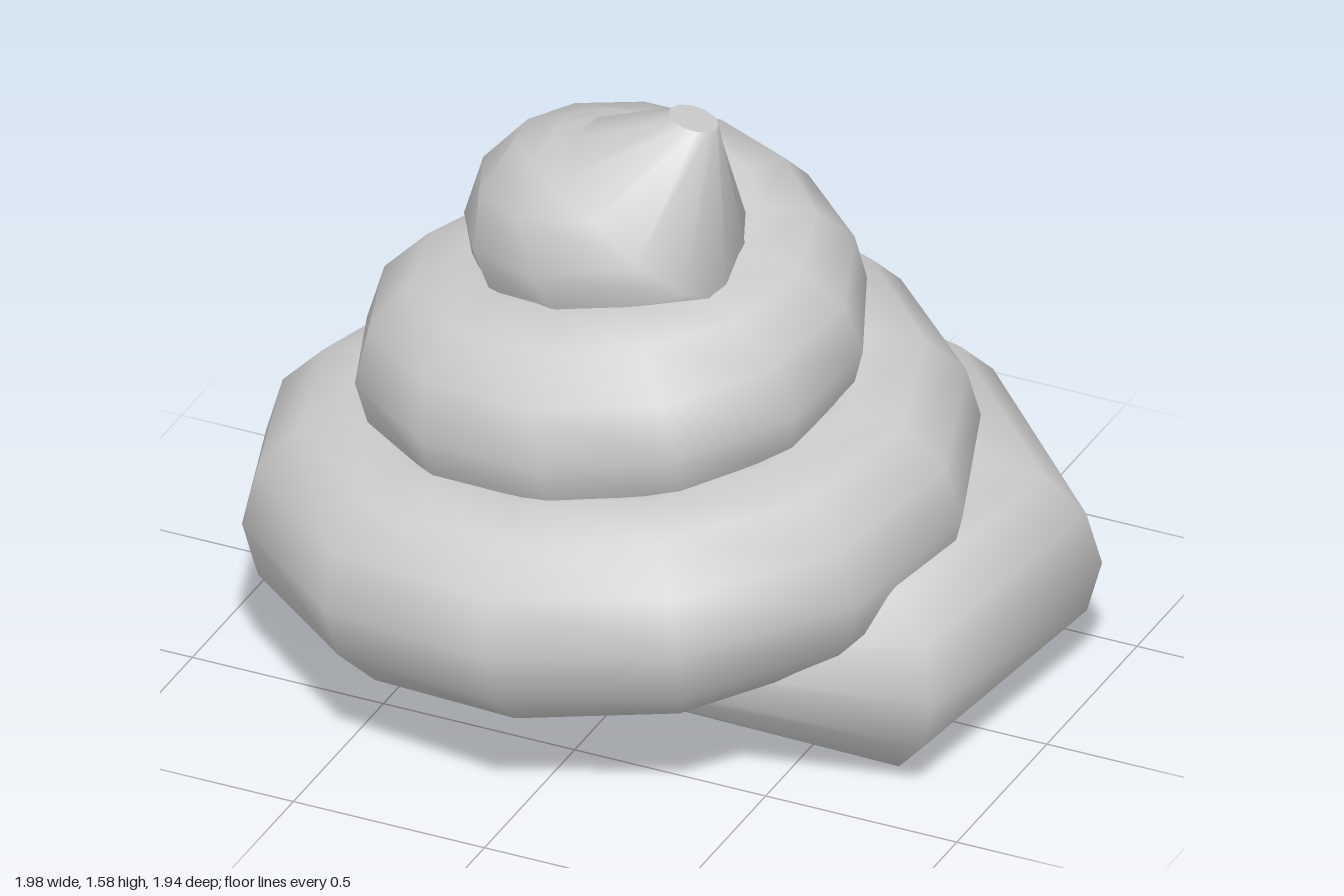
import * as THREE from 'three';

const SIDES = 12;
const TUBE_RADIUS = 0.275;
const V = (x, y, z) => new THREE.Vector3(x, y, z);

// Centre line: tucked-in tail, shrinking rising spiral, pointed tip
function spine() {
  const rings = [
    { c: V(0.05, 0.33, 0.6), r: 0.07 },
    { c: V(0.64, 0.275, 0.22), r: TUBE_RADIUS },
    { c: V(0.715, 0.3, -0.27), r: TUBE_RADIUS },
  ];
  for (let i = -1; i <= 29; i++) {
    const a = (i * Math.PI) / 6;
    const d = 0.76 - 0.0222 * i;
    const y = Math.max(0.34 + 0.02 * i, 0.31 + 0.0317 * i);
    rings.push({ c: V(-0.035 - d * Math.sin(a), y, 0.065 - d * Math.cos(a)), r: TUBE_RADIUS });
  }
  rings.push({ c: V(0.07, 1.32, 0.15), r: TUBE_RADIUS });
  rings.push({ c: V(0.13, 1.565, 0.115), r: 0.062 });
  return rings;
}

// Corners of one cross-section, set across the bend of the centre line
function section(rings, k) {
  const { c, r } = rings[k];
  const t = V(0, 0, 0);
  if (k > 0) t.add(c.clone().sub(rings[k - 1].c).normalize());
  if (k < rings.length - 1) t.add(rings[k + 1].c.clone().sub(c).normalize());
  t.normalize();
  const side = t.clone().cross(V(0, 1, 0)).normalize();
  const up = side.clone().cross(t);
  return Array.from({ length: SIDES }, (_, j) => {
    const a = (j / SIDES) * Math.PI * 2;
    return c.clone().addScaledVector(side, r * Math.cos(a)).addScaledVector(up, r * Math.sin(a));
  });
}

function build(points, index) {
  const g = new THREE.BufferGeometry().setFromPoints(points);
  g.setIndex(index);
  g.computeVertexNormals();
  return g;
}

// Smooth skin joining neighbouring sections
function skin(sections) {
  const index = [];
  for (let k = 0; k < sections.length - 1; k++) {
    for (let j = 0; j < SIDES; j++) {
      const a = k * SIDES + j;
      const b = k * SIDES + ((j + 1) % SIDES);
      index.push(a, a + SIDES, b, b, a + SIDES, b + SIDES);
    }
  }
  return build(sections.flat(), index);
}

// Flat disc closing one end
function cap(points, atEnd) {
  const index = [];
  for (let j = 1; j < SIDES - 1; j++) index.push(0, atEnd ? j + 1 : j, atEnd ? j : j + 1);
  return build(points, index);
}

export function createModel() {
  const group = new THREE.Group();
  group.name = 'swirl';
  const material = new THREE.MeshStandardMaterial({ color: 0xcccccc });
  const add = (name, geometry) => {
    const mesh = new THREE.Mesh(geometry, material);
    mesh.name = name;
    group.add(mesh);
  };

  const rings = spine();
  const sections = rings.map((_, k) => section(rings, k));
  add('coil', skin(sections));
  add('tailCap', cap(sections[0], false));
  add('tipCap', cap(sections[sections.length - 1], true));
  return group;
}
